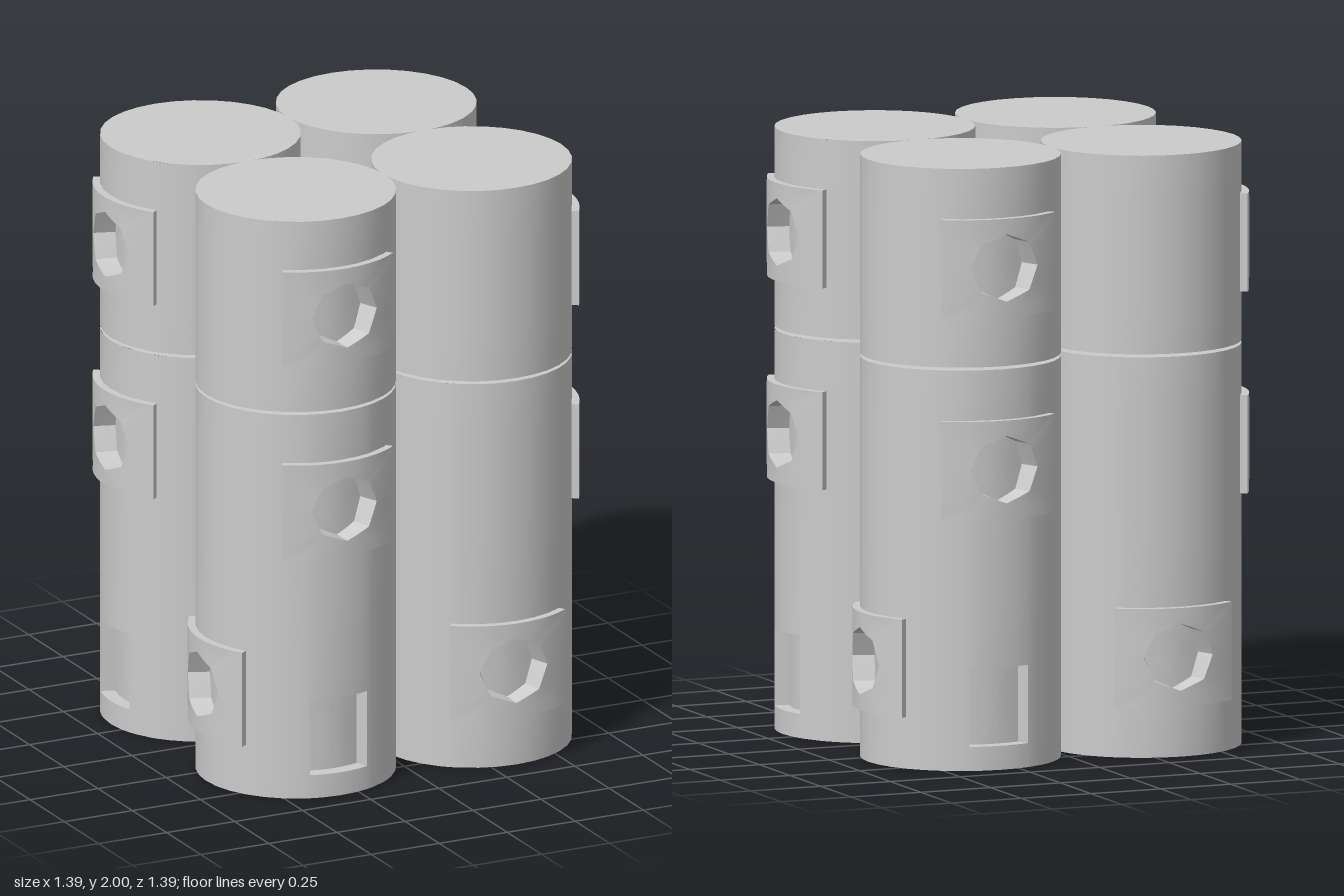
import * as THREE from 'three';
import { toCreasedNormals } from 'three/addons/utils/BufferGeometryUtils.js';

const R = 0.33;        // column radius
const PLATE_R = 0.355; // outer radius of the curved plates
const FLOOR_R = 0.282; // radius of the recess floors
const INNER_R = 0.27;  // radius of the hollow foot
const SIDES = 32;
const GAP_LOW = 1.33, GAP_HIGH = 1.34;

const material = new THREE.MeshStandardMaterial({ color: 0xcccccc });

// Openings: centre angle a (from +z towards +x), centre height y, half sizes
const plate = (a, y) => ({ a, y, ha: 0.625, hy: 0.163 });
const upperPlate = plate(0.03, 1.67);
const middlePlate = plate(0.03, 1.0);
const lowerPlate = plate(-Math.PI / 2 - 0.04, 0.335);
const slot = { a: 0, y: 0.21, ha: 0.323, hy: 0.13 };

const polar = (r, a, y) => [r * Math.sin(a), y, r * Math.cos(a)];

function finish(positions) {
  const g = new THREE.BufferGeometry();
  g.setAttribute('position', new THREE.Float32BufferAttribute(positions, 3));
  return toCreasedNormals(g, 0.5);
}

function quad(out, a, b, c, d) {
  out.push(...a, ...b, ...c, ...a, ...c, ...d);
}

function add(group, name, geometry) {
  const mesh = new THREE.Mesh(geometry, material);
  mesh.name = name;
  group.add(mesh);
}

// Cylinder wall made of cells, leaving out the rectangular openings
function wall(y0, y1, openings) {
  const angles = [], heights = [y0, y1];
  for (let i = 0; i <= SIDES; i++) angles.push(-Math.PI + (i / SIDES) * Math.PI * 2);
  for (const o of openings) {
    angles.push(o.a - o.ha, o.a + o.ha);
    heights.push(o.y - o.hy, o.y + o.hy);
  }
  angles.sort((p, q) => p - q);
  heights.sort((p, q) => p - q);
  const out = [];
  for (let i = 0; i + 1 < angles.length; i++) {
    for (let j = 0; j + 1 < heights.length; j++) {
      const [a, b, lo, hi] = [angles[i], angles[i + 1], heights[j], heights[j + 1]];
      if (b - a < 1e-6 || hi - lo < 1e-6) continue;
      const inside = openings.some((o) =>
        Math.abs((a + b) / 2 - o.a) < o.ha && Math.abs((lo + hi) / 2 - o.y) < o.hy);
      if (!inside) quad(out, polar(R, a, lo), polar(R, b, lo), polar(R, b, hi), polar(R, a, hi));
    }
  }
  return finish(out);
}

// Unit outlines with eight matching corners, counter-clockwise
const RECT = [[1, 0], [1, 1], [0, 1], [-1, 1], [-1, 0], [-1, -1], [0, -1], [1, -1]];
const OCT = RECT.map((_, i) => [Math.cos(i * Math.PI / 4), Math.sin(i * Math.PI / 4)]);

// Closed loop of [radius, angle, height] around an opening
function loop(outline, r, o, ha, hy, steps = 5) {
  const pts = [];
  outline.forEach((p, i) => {
    const q = outline[(i + 1) % 8];
    for (let k = 0; k < steps; k++) {
      const t = k / steps;
      pts.push([r, o.a + ha * (p[0] + (q[0] - p[0]) * t), o.y + hy * (p[1] + (q[1] - p[1]) * t)]);
    }
  });
  return pts;
}

// Skin through successive loops
function skin(loops) {
  const out = [];
  for (let l = 0; l + 1 < loops.length; l++) {
    const A = loops[l], B = loops[l + 1], n = A.length;
    for (let i = 0; i < n; i++) {
      const k = (i + 1) % n;
      quad(out, polar(...A[i]), polar(...A[k]), polar(...B[k]), polar(...B[i]));
    }
  }
  return finish(out);
}

// Curved plate with an octagonal recess
function plateGeometry(o) {
  const edge = loop(RECT, PLATE_R, o, o.ha, o.hy);
  const rim = loop(OCT, PLATE_R, o, 0.35, 0.112);
  const mid = edge.map((p, i) => p.map((v, k) => (v + rim[i][k]) / 2));
  return skin([
    loop(RECT, R - 0.005, o, o.ha, o.hy), edge, mid, rim,
    loop(OCT, FLOOR_R, o, 0.35, 0.112),
    loop(OCT, FLOOR_R, o, 0.17, 0.056),
    loop(OCT, FLOOR_R, o, 0, 0),
  ]);
}

// Rectangular recess in the wall
function slotGeometry(o) {
  return skin([
    loop(RECT, R, o, o.ha, o.hy),
    loop(RECT, FLOOR_R, o, o.ha, o.hy),
    loop(RECT, FLOOR_R, o, o.ha / 2, o.hy / 2),
    loop(RECT, FLOOR_R, o, 0, 0),
  ]);
}

function lathe(points) {
  const g = new THREE.LatheGeometry(points.map(([x, y]) => new THREE.Vector2(x, y)), SIDES);
  return toCreasedNormals(g, 0.5);
}

function createColumn() {
  const column = new THREE.Group();

  // Lower section with hollow foot and central peg
  add(column, 'lowerWall', wall(0, GAP_LOW, [middlePlate, lowerPlate, slot]));
  add(column, 'hollowFoot', lathe([[0, 0.6], [INNER_R, 0.6], [INNER_R, 0], [R, 0]]));
  add(column, 'lowerLid', lathe([[R, GAP_LOW], [0, GAP_LOW]]));
  add(column, 'footPeg', lathe([[0, 0], [0.07, 0], [0.07, 0.6]]));

  // Upper section
  add(column, 'upperWall', wall(GAP_HIGH, 2, [upperPlate]));
  add(column, 'upperBase', lathe([[0, GAP_HIGH], [R, GAP_HIGH]]));
  add(column, 'topLid', lathe([[R, 2], [0, 2]]));

  // Plates and slot
  add(column, 'upperPlate', plateGeometry(upperPlate));
  add(column, 'middlePlate', plateGeometry(middlePlate));
  add(column, 'lowerPlate', plateGeometry(lowerPlate));
  add(column, 'slot', slotGeometry(slot));

  column.position.set(-0.318, 0, 0.338);
  return column;
}

export function createModel() {
  const model = new THREE.Group();
  model.name = 'columnCluster';
  const column = createColumn();
  // Four columns, each a quarter turn on from the last
  for (let i = 0; i < 4; i++) {
    const quarter = new THREE.Group();
    quarter.name = `column${i + 1}`;
    quarter.add(column.clone());
    quarter.rotation.y = (i * Math.PI) / 2;
    model.add(quarter);
  }
  return model;
}
